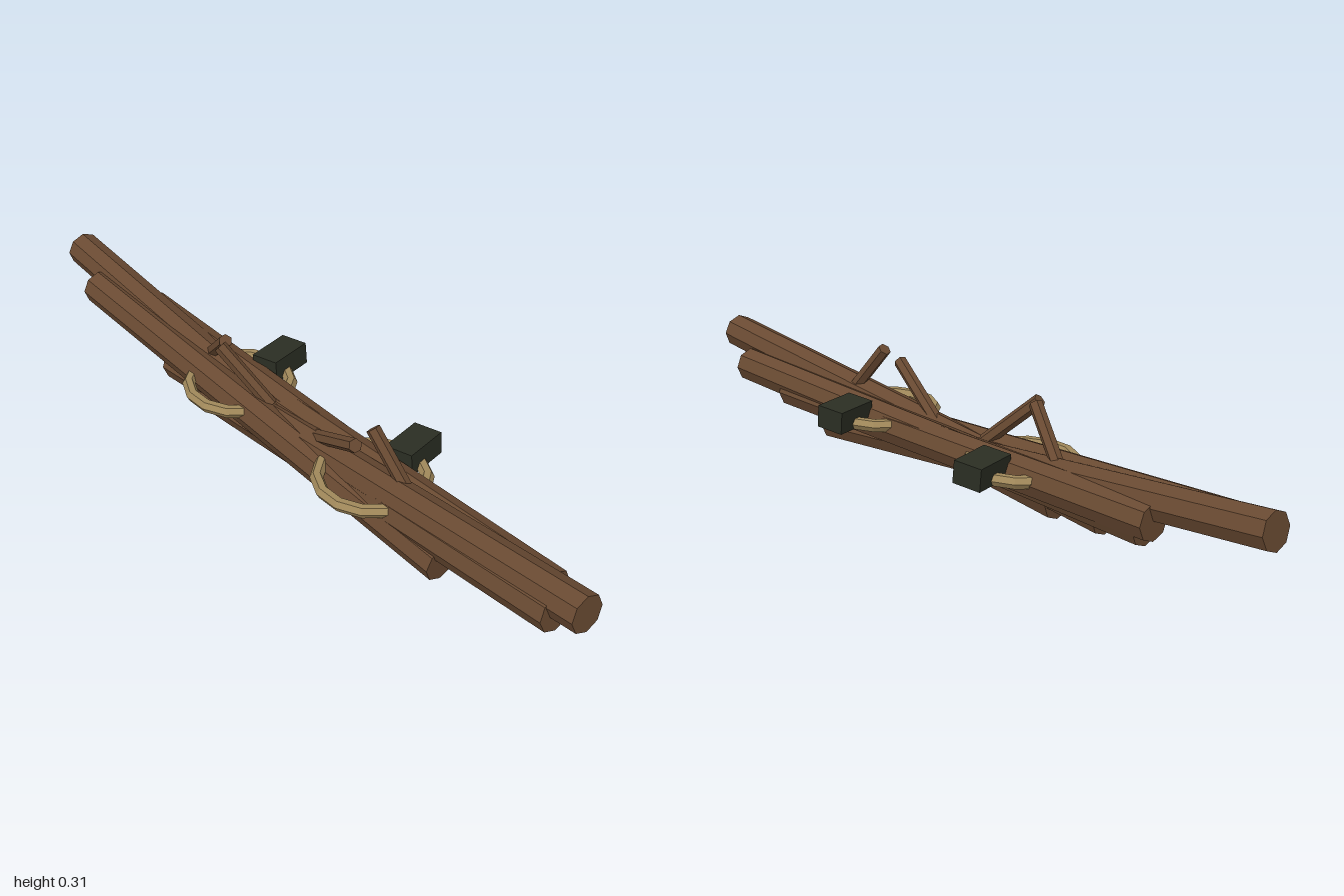
import * as THREE from 'three';

const wood = new THREE.MeshStandardMaterial({ color: 0x694a32, flatShading: true });
wood.name = 'wood';
const fibre = new THREE.MeshStandardMaterial({ color: 0xa0885a, flatShading: true });
fibre.name = 'ropeFibre';
const dark = new THREE.MeshStandardMaterial({ color: 0x2b2e23, flatShading: true });
dark.name = 'darkBlock';

// Straight round stick between two points
function pole(name, from, to, radius, sides) {
  const a = new THREE.Vector3(...from), b = new THREE.Vector3(...to);
  const dir = b.clone().sub(a);
  const mesh = new THREE.Mesh(new THREE.CylinderGeometry(radius, radius, dir.length(), sides), wood);
  mesh.position.copy(a).add(b).multiplyScalar(0.5);
  mesh.quaternion.setFromUnitVectors(new THREE.Vector3(0, 1, 0), dir.normalize());
  mesh.name = name;
  return mesh;
}

export function createModel() {
  const model = new THREE.Group();
  model.name = 'logBundle';

  // Long crossing logs: left end, right end
  const logs = [
    [[-0.995, 0.215, 0.015], [0.51, 0.05, 0.022]],
    [[-0.5, 0.08, 0.04], [0.995, 0.205, 0.043]],
    [[-0.84, 0.175, 0.067], [0.585, 0.085, 0.067]],
    [[-0.34, 0.067, 0.045], [0.925, 0.168, 0.06]],
    [[-0.66, 0.12, -0.005], [0.855, 0.145, -0.016]],
    [[-0.69, 0.145, -0.016], [0.655, 0.118, -0.014]],
  ];
  logs.forEach(([a, b], i) => model.add(pole('log' + (i + 1), a, b, 0.048, 8)));

  // Short twigs sticking up from the bundle
  const twigs = [
    [[-0.38, 0.155, 0.01], [-0.235, 0.288, 0.065]],
    [[-0.225, 0.288, 0.09], [-0.085, 0.155, 0.035]],
    [[0.09, 0.155, 0.035], [0.295, 0.265, 0.083]],
    [[0.31, 0.305, 0.042], [0.435, 0.155, 0.022]],
  ];
  twigs.forEach(([a, b], i) => model.add(pole('twig' + (i + 1), a, b, 0.018, 6)));

  // Two bindings, each a flat-lying rope ring with a dark block behind it
  for (const x of [-0.23, 0.295]) {
    const binding = new THREE.Group();
    binding.name = 'binding';
    const rope = new THREE.Mesh(new THREE.TorusGeometry(0.135, 0.017, 6, 14), fibre);
    rope.name = 'rope';
    rope.rotation.x = Math.PI / 2;
    rope.position.set(0, 0.144, 0.026);
    const block = new THREE.Mesh(new THREE.BoxGeometry(0.08, 0.06, 0.125), dark);
    block.name = 'block';
    block.position.set(0, 0.163, -0.11);
    block.rotation.set(0, 0.2, 0.08);
    binding.add(rope, block);
    binding.position.x = x;
    model.add(binding);
  }
  return model;
}
